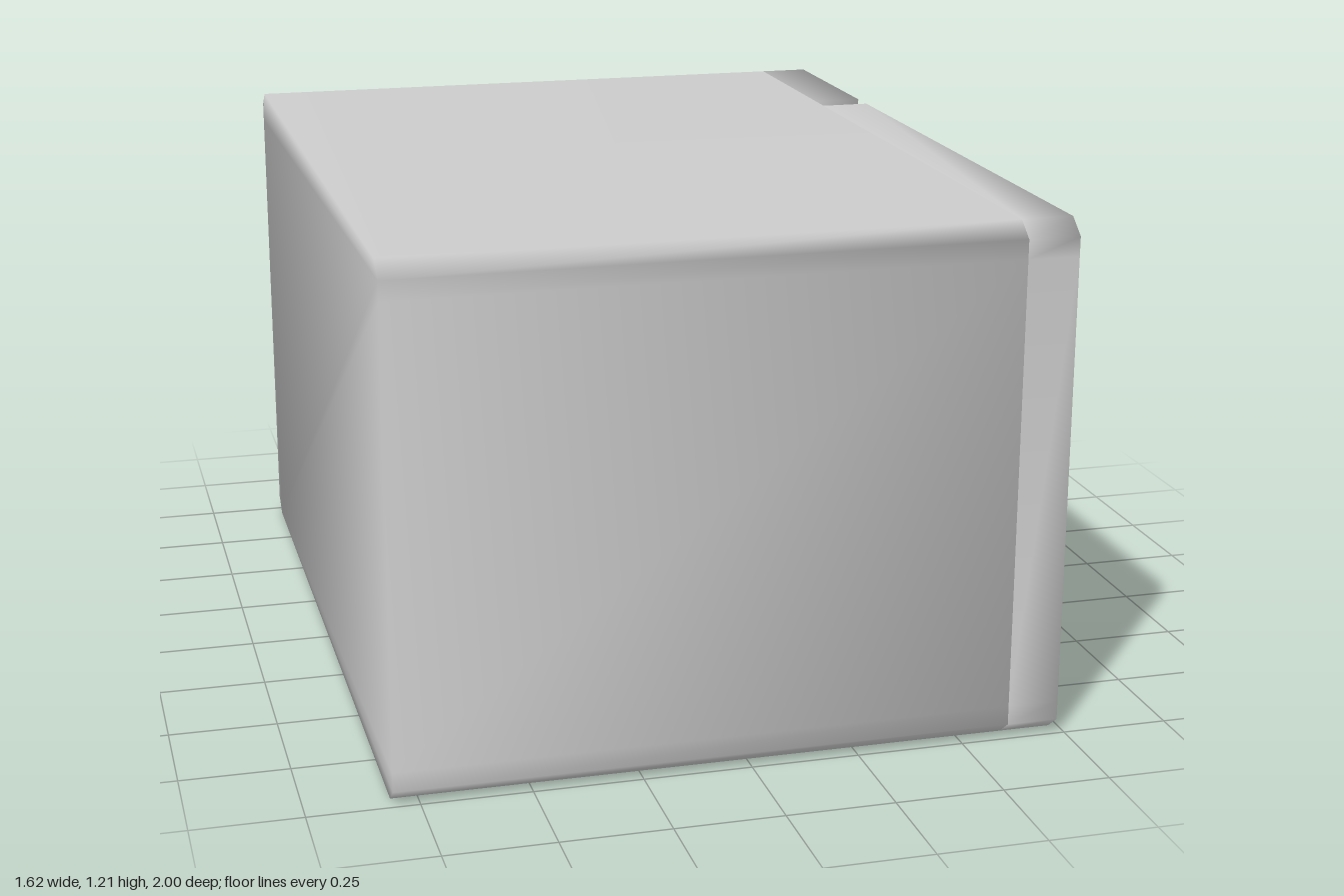
import * as THREE from 'three';
import { mergeVertices } from 'three/addons/utils/BufferGeometryUtils.js';

const H = 1.21, CZ = 0.045, CY = 0.035, BAND = 0.08;
const DOOR_X = 0.61, OUT_X = 0.73;

// Side outline from zBack to zFront; each end is chamfered or square
function outline(zBack, zFront, chamferBack, chamferFront) {
  const end = (z, inward, chamfer) => chamfer
    ? [[z + inward * CZ, 0], [z, CY], [z, BAND], [z, H - BAND], [z, H - CY], [z + inward * CZ, H]]
    : [[z, 0], [z, H]];
  const pts = [...end(zBack, 1, chamferBack), ...end(zFront, -1, chamferFront).reverse()];
  return new THREE.Shape(pts.map(([z, y]) => new THREE.Vector2(-z, y)));
}

// Extrude a side outline along x, from x0 to x1
function extrudeX(shape, x0, x1) {
  const g = new THREE.ExtrudeGeometry(shape, { depth: x1 - x0, bevelEnabled: false });
  return g.rotateY(Math.PI / 2).translate(x0, 0, 0);
}

// Share corner vertices so the shading rolls softly around the edges
function soften(g) {
  g.deleteAttribute('normal');
  g.deleteAttribute('uv');
  const merged = mergeVertices(g, 1e-4);
  merged.computeVertexNormals();
  return merged;
}

function box(x0, x1, y0, y1, z0, z1) {
  return new THREE.BoxGeometry(x1 - x0, y1 - y0, z1 - z0)
    .translate((x0 + x1) / 2, (y0 + y1) / 2, (z0 + z1) / 2);
}

export function createModel() {
  const model = new THREE.Group();
  model.name = 'microwaveOven';
  const material = new THREE.MeshStandardMaterial({ color: 0xcccccc });
  const add = (name, geometry, parent = model) => {
    const mesh = new THREE.Mesh(geometry, material);
    mesh.name = name;
    parent.add(mesh);
    return mesh;
  };

  // Main housing
  add('body', soften(extrudeX(outline(-1, 1, true, true), -0.81, DOOR_X)));

  // Plain control panel beside the door
  add('controlPanel', soften(extrudeX(outline(-1, -0.475, true, false), DOOR_X, OUT_X)));

  // Door: chamfered frame around a slightly sunken window
  const door = new THREE.Group();
  door.name = 'door';
  model.add(door);
  const y0 = 0.08, y1 = 1.13, z0 = -0.36, z1 = 0.88;
  const frame = outline(-0.455, 1, true, true);
  frame.holes.push(new THREE.Path([[z0, y0], [z0, y1], [z1, y1], [z1, y0]]
    .map(([z, y]) => new THREE.Vector2(-z, y))));
  add('doorFrame', soften(extrudeX(frame, DOOR_X, OUT_X)), door);
  add('doorWindow', box(DOOR_X, OUT_X - 0.012, y0, y1, z0, z1), door);

  // Vertical handle held by a thin bracket at each end
  const handle = new THREE.Group();
  handle.name = 'handle';
  door.add(handle);
  add('handleBar', box(0.77, 0.805, 0.1, 1.12, -0.435, -0.365), handle);
  for (const y of [0.1, 1.11]) {
    add('handleBracket', box(OUT_X - 0.01, 0.77, y, y + 0.01, -0.435, -0.365), handle);
  }
  return model;
}
